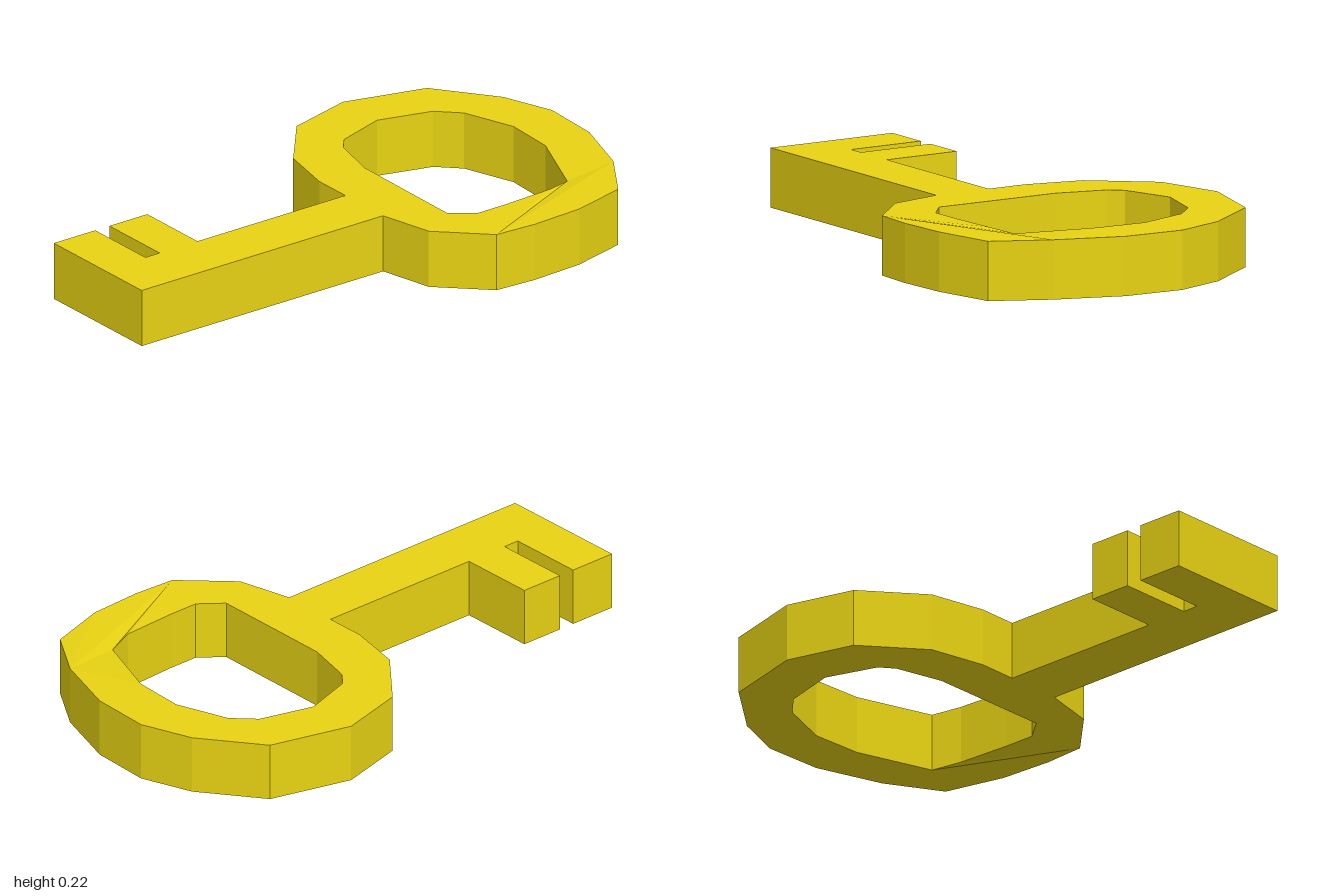
import * as THREE from 'three';

const BOTTOM = 0.01, THICKNESS = 0.205;

// Outline corners are given as [x, z] seen from above
const toPoints = (list) => list.map(([x, z]) => new THREE.Vector2(x, -z));

// Ring outside, running from the right of the shank round to its left
const bowOutline = [
  [0.23, -0.02], [0.425, -0.065], [0.585, -0.23], [0.595, -0.385], [0.585, -0.58],
  [0.525, -0.79], [0.34, -0.91], [0.1, -0.99], [-0.12, -1], [-0.305, -0.935],
  [-0.52, -0.775], [-0.6, -0.48], [-0.535, -0.235], [-0.33, -0.065], [-0.125, -0.02],
];

// Shank with two teeth on one side
const shankOutline = [
  [0.02, -0.02], [0.02, 0.605], [-0.26, 0.605], [-0.26, 0.765], [0.02, 0.765],
  [0.02, 0.825], [-0.26, 0.825], [-0.26, 1], [0.23, 1],
];

// Opening in the ring
const bowHole = [
  [-0.09, -0.815], [0.1, -0.805], [0.36, -0.7], [0.395, -0.6], [0.405, -0.4],
  [0.405, -0.285], [0.34, -0.205], [-0.125, -0.21], [-0.3, -0.255], [-0.35, -0.295],
  [-0.41, -0.48], [-0.355, -0.675], [-0.28, -0.75],
];

export function createModel() {
  const group = new THREE.Group();
  group.name = 'key';

  const shape = new THREE.Shape(toPoints([...bowOutline, ...shankOutline]));
  shape.holes.push(new THREE.Path(toPoints(bowHole)));

  const geometry = new THREE.ExtrudeGeometry(shape, { depth: THICKNESS, bevelEnabled: false });
  geometry.rotateX(-Math.PI / 2);
  geometry.translate(0, BOTTOM, 0);

  // The back left corner of the ring sags very slightly
  const pos = geometry.attributes.position;
  for (let i = 0; i < pos.count; i++) {
    const nearCorner = Math.hypot(pos.getX(i) - 0.44, pos.getZ(i) + 0.745) < 0.12;
    if (nearCorner) pos.setY(i, pos.getY(i) - (pos.getX(i) < 0.45 ? 0.01 : 0.005));
  }
  geometry.computeVertexNormals();

  const material = new THREE.MeshStandardMaterial({ color: 0xe8d313, flatShading: true });
  const body = new THREE.Mesh(geometry, material);
  body.name = 'keyBody';
  group.add(body);
  return group;
}
